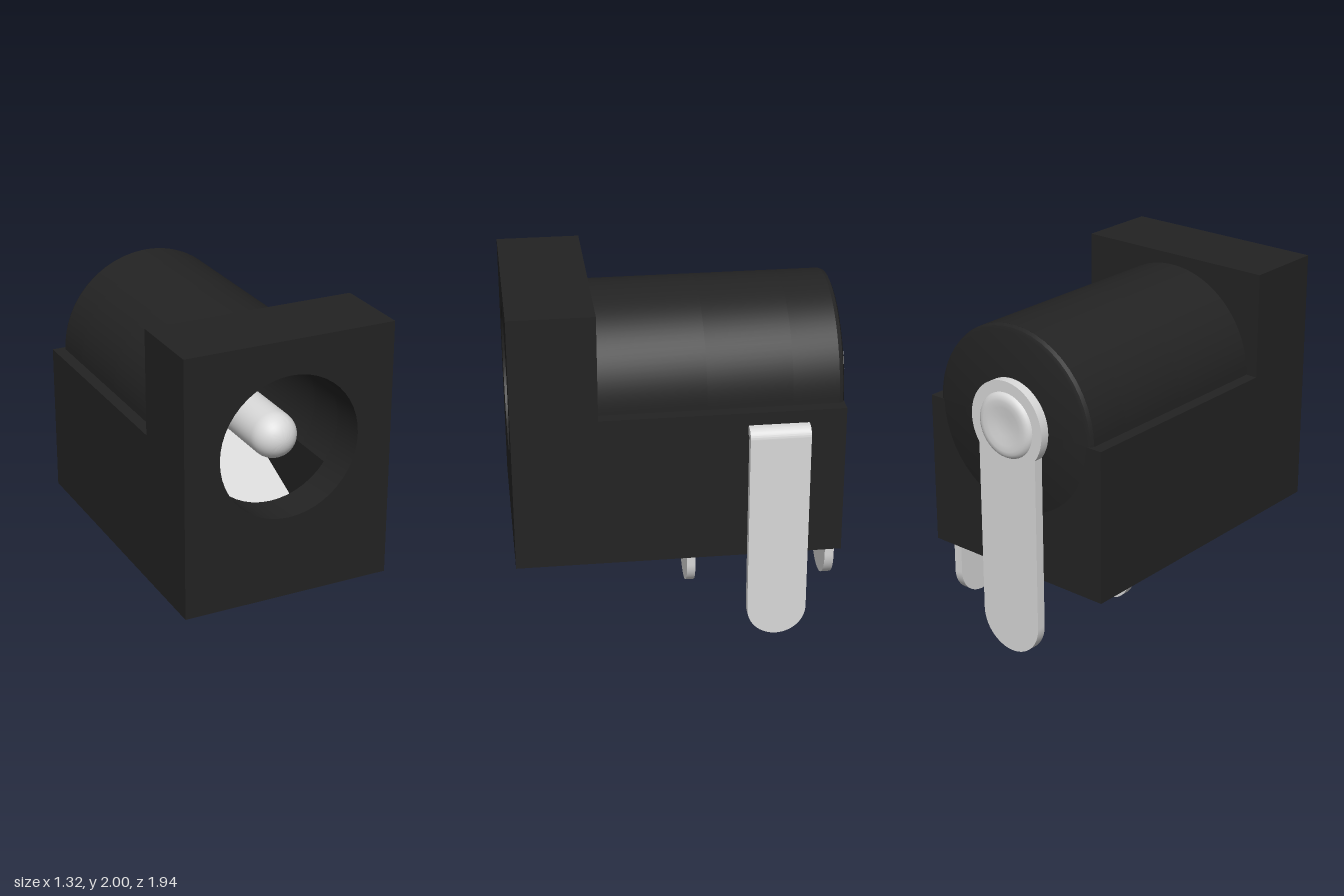
import * as THREE from 'three';
import { toCreasedNormals } from 'three/addons/utils/BufferGeometryUtils.js';

const CX = -0.04, CY = 1.385;          // axis of the socket
const L = -0.66, R = 0.58, BOTTOM = 0.49, TOP = 2;

export function createModel() {
  const group = new THREE.Group();
  const black = new THREE.MeshStandardMaterial({ color: 0x232323 });
  black.name = 'blackPlastic';
  const metal = new THREE.MeshStandardMaterial({ color: 0xd9d9d9 });
  metal.name = 'lightMetal';

  const add = (name, geo, mat) => {
    const mesh = new THREE.Mesh(geo, mat);
    mesh.name = name;
    group.add(mesh);
    return mesh;
  };
  // extrude a front-facing shape between two depths
  const slab = (shape, z0, z1) => toCreasedNormals(
    new THREE.ExtrudeGeometry(shape, { depth: z1 - z0, bevelEnabled: false, curveSegments: 24 })
      .translate(0, 0, z0), 0.5);
  // revolve (radius, z) points around the socket axis; z must run from back to front
  const turned = (pts, seg = 40, start = 0, sweep = Math.PI * 2) => toCreasedNormals(
    new THREE.LatheGeometry(pts.map(p => new THREE.Vector2(...p)), seg, start, sweep)
      .rotateX(Math.PI / 2).translate(CX, CY, 0), 0.7);

  // outlines of the housing
  const blockShape = () => new THREE.Shape([[L, BOTTOM], [R, BOTTOM], [R, TOP], [L, TOP]]
    .map(p => new THREE.Vector2(...p)));
  const barrelShape = () => {
    const s = new THREE.Shape();
    s.moveTo(L, BOTTOM);
    s.lineTo(R, BOTTOM);
    s.lineTo(R, CY);
    s.lineTo(CX + 0.55, CY);
    s.absarc(CX, CY, 0.55, 0, Math.PI, false);
    s.lineTo(L, CY);
    return s;
  };
  // round bore, and the bore opened into a contact chamber below
  const bore = () => new THREE.Path().absarc(CX, CY, 0.415, 0, Math.PI * 2, true);
  const chamber = () => {
    const a = Math.asin(0.245 / 0.415), w = 0.415 * Math.cos(a), p = new THREE.Path();
    p.moveTo(CX - w, 0.6);
    p.lineTo(CX + w, 0.6);
    p.absarc(CX, CY, 0.415, -a, Math.PI + a, false);
    p.lineTo(CX - w, 0.6);
    return p;
  };
  const housing = (name, shape, hole, z0, z1) => {
    if (hole) shape.holes.push(hole);
    add(name, slab(shape, z0, z1), black);
  };
  housing('frontFlange', blockShape(), bore(), 0.75, 0.97);
  housing('flangeRear', blockShape(), chamber(), 0.49, 0.75);
  housing('barrelFront', barrelShape(), chamber(), -0.12, 0.49);
  housing('barrelMiddle', barrelShape(), bore(), -0.6, -0.12);
  housing('barrelBack', barrelShape(), null, -0.86, -0.6);

  // rounded rear rim above a square lower edge
  add('rearRim', turned([[0, -0.89], [0.52, -0.89], [0.541, -0.881], [0.55, -0.86]], 24, Math.PI / 2, Math.PI), black);
  add('rearRimLower', turned([[0, -0.89], [0.52, -0.89], [0.541, -0.881], [0.55, -0.86]], 24, -Math.PI / 2, Math.PI), black);
  add('rearBase', new THREE.BoxGeometry(R - L, CY - BOTTOM, 0.03)
    .translate((L + R) / 2, (CY + BOTTOM) / 2, -0.875), black);

  // centre pin with domed tip and a collar at the back of the bore
  const pin = [[0.22, -0.6], [0.24, -0.58], [0.24, -0.56], [0.22, -0.54], [0.132, -0.54]];
  for (let i = 0; i <= 10; i++) {
    const a = i / 10 * Math.PI / 2;
    pin.push([0.132 * Math.cos(a), 0.77 + 0.132 * Math.sin(a)]);
  }
  add('centrePin', turned(pin), metal);

  // strip with a rounded lower end
  const tongue = (c, r, top) => {
    const s = new THREE.Shape();
    s.moveTo(c + r, top);
    s.lineTo(c - r, top);
    s.lineTo(c - r, r);
    s.absarc(c, r, r, Math.PI, Math.PI * 2, false);
    return s;
  };

  // rear terminal: leg, round eyelet and rivet head
  const eye = new THREE.Shape();
  const ang = Math.acos(0.205 / 0.255);
  eye.moveTo(CX + 0.205, CY - 0.255 * Math.sin(ang));
  eye.absarc(CX, CY, 0.255, -ang, Math.PI + ang, false);
  eye.lineTo(CX - 0.205, 0.205);
  eye.absarc(CX, 0.205, 0.205, Math.PI, Math.PI * 2, false);
  add('rearTerminal', slab(eye, -0.945, -0.89), metal);
  add('rivetHead', turned([[0, -0.957], [0.06, -0.96], [0.11, -0.967], [0.145, -0.97],
    [0.165, -0.967], [0.182, -0.958], [0.19, -0.945]]), metal);

  // spring contact: leg, upright and sloping leaf
  add('springLeg', slab(tongue(CX, 0.175, 0.62), -0.11, -0.06), metal);
  add('springUpright', new THREE.BoxGeometry(0.41, 0.58, 0.05).translate(CX, 0.89, -0.085), metal);
  const leaf = new THREE.Shape([[0.11, 1.18], [0.06, 1.18], [-0.65, 0.88], [-0.65, 0.83], [0.06, 1.13], [0.11, 1.13]]
    .map(p => new THREE.Vector2(...p)));
  add('springLeaf', new THREE.ExtrudeGeometry(leaf, { depth: 0.41, bevelEnabled: false })
    .rotateY(Math.PI / 2).translate(CX - 0.205, 0, 0), metal);

  // side terminal: leg bent over into the housing wall
  const side = slab(tongue(0, 0.17, 1.255), 0, 0.055).rotateY(Math.PI / 2).translate(0.605, 0, -0.51);
  add('sideTerminal', side, metal);
  const bend = new THREE.Shape();
  bend.moveTo(0.56, 1.255);
  bend.lineTo(0.66, 1.255);
  bend.absarc(0.605, 1.255, 0.055, 0, Math.PI / 2, false);
  bend.lineTo(0.56, 1.31);
  add('sideTerminalBend', slab(bend, -0.68, -0.34), metal);

  return group;
}
